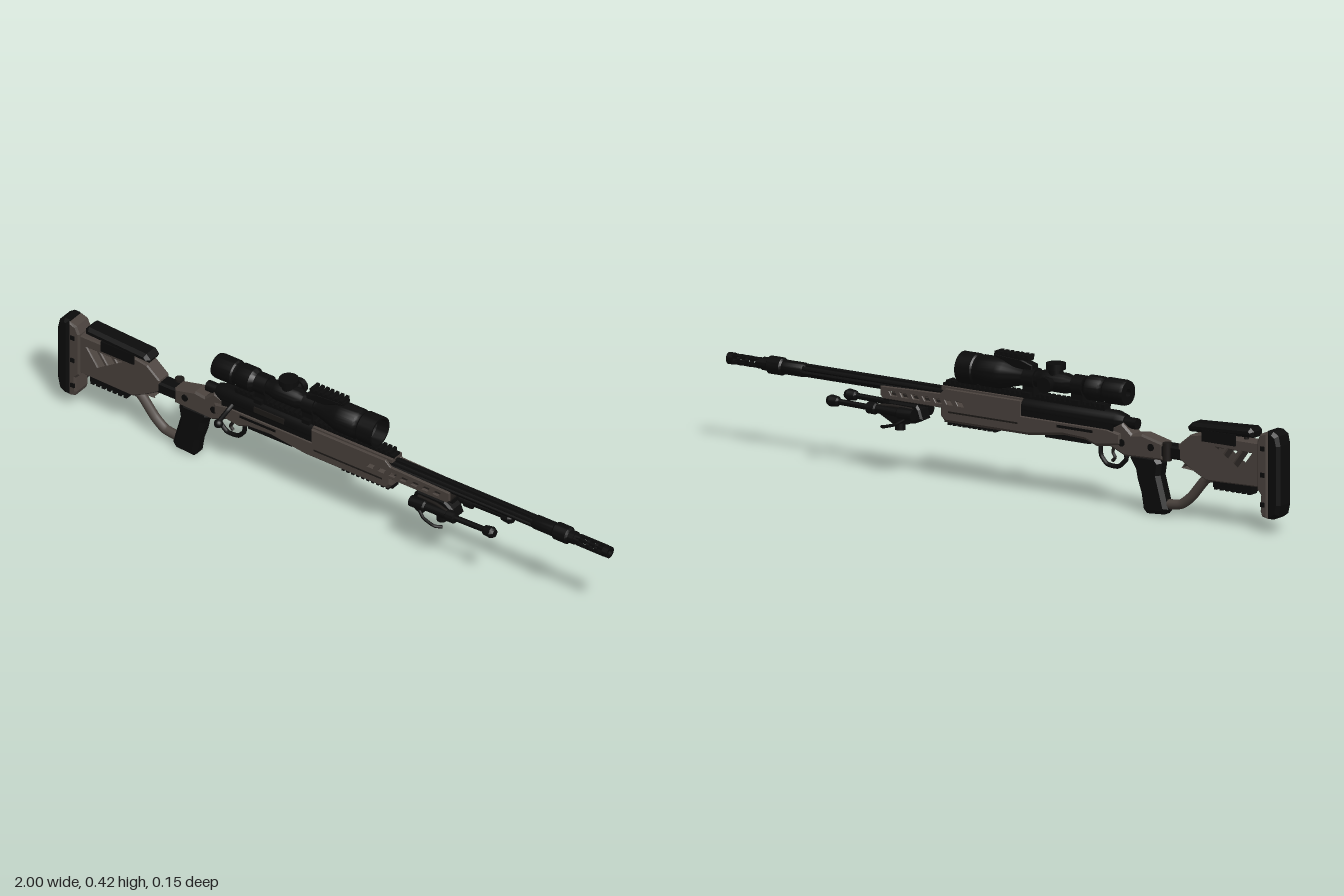
import * as THREE from 'three';
import { toCreasedNormals } from 'three/addons/utils/BufferGeometryUtils.js';

export function createModel() {
  const root = new THREE.Group();
  const body = new THREE.Group();
  body.name = 'body';
  body.position.z = -0.008;
  root.add(body);

  const make = (name, color) => {
    const m = new THREE.MeshStandardMaterial({ color, side: THREE.DoubleSide });
    m.name = name;
    return m;
  };
  const black = make('black', 0x0b0b0b);
  const taupe = make('taupe', 0x4a423d);
  const steel = make('dark steel', 0x1d1a18);

  const add = (name, geo, mat) => {
    const m = new THREE.Mesh(geo, mat);
    m.name = name;
    body.add(m);
    return m;
  };
  // box given by its x and y limits, width and z centre
  const box = (name, mat, x0, x1, y0, y1, w, z = 0) =>
    add(name, new THREE.BoxGeometry(x1 - x0, y1 - y0, w).translate((x0 + x1) / 2, (y0 + y1) / 2, z), mat);
  // side profile with bevelled edges, centred on z
  const prism = (name, mat, pts, w, holes = [], z = 0, b = 0.006) => {
    const v = (a) => a.map(([x, y]) => new THREE.Vector2(x, y));
    const s = new THREE.Shape(v(pts));
    holes.forEach((h) => s.holes.push(new THREE.Path(v(h))));
    const g = new THREE.ExtrudeGeometry(s, {
      depth: w - 2 * b, bevelEnabled: b > 0, bevelThickness: b, bevelSize: b, bevelOffset: -b, bevelSegments: 1,
    });
    return add(name, g.translate(0, 0, z - w / 2 + b), mat);
  };
  // turned part along x: profile of [x, radius]
  const turned = (name, mat, prof, y, z = 0, seg = 28) => {
    const g = new THREE.LatheGeometry(prof.map(([x, r]) => new THREE.Vector2(r, x)), seg);
    return add(name, toCreasedNormals(g.rotateZ(-Math.PI / 2).translate(0, y, z), 0.6), mat);
  };
  const rod = (name, mat, x0, x1, r, y, z = 0, seg = 20) =>
    turned(name, mat, [[x0, 0], [x0, r], [x1, r], [x1, 0]], y, z, seg);
  const tube = (name, mat, pts, r, closed = false) =>
    add(name, new THREE.TubeGeometry(new THREE.CatmullRomCurve3(
      pts.map((p) => new THREE.Vector3(...p)), closed, 'catmullrom', 0.3), 32, r, 10, closed), mat);
  // rail with cross teeth
  const rail = (name, mat, x0, x1, y0, y1, w, up = true) => {
    const mid = (y0 + y1) / 2;
    box(name, mat, x0, x1, up ? y0 : mid, up ? mid : y1, w * 0.85);
    for (let x = x0; x < x1 - 0.008; x += 0.018)
      box(name + 'Tooth', mat, x, x + 0.01, up ? mid : y0, up ? y1 : mid, w);
  };

  // butt pad and plate
  prism('buttPad', black, [[-0.975, 0.045], [-0.955, 0.045], [-0.955, 0.312], [-0.975, 0.312],
    [-0.993, 0.3], [-1, 0.27], [-1, 0.09], [-0.993, 0.058]], 0.07, [], 0, 0.01);
  prism('buttPlate', taupe, [[-0.957, 0.045], [-0.935, 0.05], [-0.93, 0.065], [-0.932, 0.115],
    [-0.918, 0.13], [-0.918, 0.275], [-0.93, 0.3], [-0.957, 0.308]], 0.066);
  for (const y of [0.08, 0.17, 0.25]) box('buttScrew', black, -0.948, -0.934, y, y + 0.014, 0.072);

  // skeleton stock with slanted openings
  const slots = [0, 1, 2, 3].map((i) => {
    const x = -0.895 + i * 0.052;
    return [[x, 0.235], [x + 0.034, 0.235], [x + 0.09, 0.16], [x + 0.056, 0.16]];
  });
  prism('stockFrame', taupe, [[-0.925, 0.135], [-0.73, 0.13], [-0.68, 0.155], [-0.63, 0.185],
    [-0.63, 0.225], [-0.675, 0.262], [-0.72, 0.27], [-0.925, 0.27]], 0.05, slots, 0, 0.004);
  box('stockLowerRail', black, -0.89, -0.75, 0.112, 0.133, 0.032);
  for (let i = 0; i < 7; i++) box('stockRailTooth', black, -0.886 + i * 0.02, -0.875 + i * 0.02, 0.106, 0.114, 0.036);
  for (const x of [-0.86, -0.73]) rodUp('cheekPost', steel, x, 0.25, 0.3, 0.008);

  // padded cheek rest
  prism('cheekRest', black, [[-0.9, 0.282], [-0.67, 0.272], [-0.664, 0.284], [-0.68, 0.3], [-0.89, 0.311], [-0.902, 0.3]], 0.062, [], 0, 0.01);
  for (const s of [-1, 1]) box('cheekRestSide', black, -0.84, -0.72, 0.25, 0.285, 0.006, s * 0.029);

  function rodUp(name, mat, x, y0, y1, r, z = 0) {
    return add(name, new THREE.CylinderGeometry(r, r, y1 - y0, 20).translate(x, (y0 + y1) / 2, z), mat);
  }

  // folding hinge and rear of the chassis
  prism('hinge', black, [[-0.645, 0.178], [-0.56, 0.178], [-0.54, 0.19], [-0.54, 0.218], [-0.645, 0.218]], 0.05);
  rodUp('hingePin', steel, -0.59, 0.172, 0.226, 0.014, -0.022);
  prism('chassisRear', taupe, [[-0.575, 0.17], [-0.44, 0.165], [-0.38, 0.19], [-0.38, 0.245],
    [-0.43, 0.265], [-0.465, 0.235], [-0.5, 0.24], [-0.575, 0.222]], 0.054);
  for (const x of [-0.535, -0.43]) {
    const g = new THREE.CylinderGeometry(0.011, 0.011, 0.06, 16).rotateX(Math.PI / 2).translate(x, 0.205, 0);
    add('chassisPin', g, black);
  }

  // brace tube from the stock to the grip
  tube('stockBrace', taupe, [[-0.76, 0.142, 0], [-0.715, 0.128, 0], [-0.665, 0.07, 0], [-0.625, 0.04, 0], [-0.56, 0.032, 0]], 0.015);

  // grip
  prism('grip', black, [[-0.575, 0.004], [-0.512, 0], [-0.5, 0.012], [-0.492, 0.06], [-0.478, 0.1], [-0.472, 0.13],
    [-0.452, 0.16], [-0.46, 0.178], [-0.55, 0.178], [-0.566, 0.158], [-0.56, 0.12], [-0.574, 0.07], [-0.588, 0.02]], 0.05, [], 0, 0.012);

  // trigger guard and trigger
  tube('triggerGuard', black, [[-0.425, 0.182, 0], [-0.428, 0.15, 0], [-0.4, 0.124, 0], [-0.36, 0.126, 0],
    [-0.338, 0.15, 0], [-0.335, 0.185, 0]], 0.007);
  tube('trigger', steel, [[-0.385, 0.19, 0], [-0.38, 0.165, 0], [-0.388, 0.15, 0], [-0.378, 0.138, 0]], 0.005);

  // chassis and forend
  prism('chassis', taupe, [[-0.43, 0.195], [-0.34, 0.182], [-0.3, 0.196], [-0.22, 0.2], [-0.1, 0.183], [0.205, 0.182],
    [0.222, 0.2], [0.222, 0.245], [-0.38, 0.245], [-0.43, 0.235]], 0.066, [], 0, 0.009);
  box('magazine', black, -0.31, -0.15, 0.183, 0.21, 0.04);
  for (const s of [-1, 1]) {
    box('chassisGroove', steel, -0.06, 0.19, 0.213, 0.218, 0.002, s * 0.0335);
    box('chassisPanel', black, -0.33, -0.2, 0.222, 0.23, 0.002, s * 0.0335);
  }
  rail('underRail', black, 0.03, 0.215, 0.172, 0.186, 0.036, false);

  // handguard with side openings
  const vents = [];
  for (let i = 0; i < 7; i++) {
    const x = 0.135 + i * 0.04;
    vents.push([[x, 0.238], [x + 0.02, 0.238], [x + 0.028, 0.25], [x + 0.008, 0.25]]);
  }
  for (const s of [-1, 1])
    prism('handguardSide', taupe, [[-0.07, 0.225], [0.425, 0.225], [0.435, 0.235], [0.435, 0.262], [0.22, 0.268], [0.2, 0.285], [-0.07, 0.285]],
      0.01, vents, s * 0.028, 0.002);
  box('handguardFloor', steel, -0.07, 0.43, 0.223, 0.232, 0.05);
  box('handguardTop', taupe, -0.07, 0.22, 0.278, 0.29, 0.05);
  box('accessoryRail', black, 0.27, 0.435, 0.215, 0.226, 0.03);

  // receiver, bolt and top rail
  turned('receiver', black, [[-0.43, 0], [-0.43, 0.022], [-0.4, 0.031], [-0.06, 0.031], [-0.06, 0]], 0.263);
  box('receiverBed', black, -0.4, -0.07, 0.235, 0.265, 0.06);
  box('ejectionPort', steel, -0.28, -0.17, 0.262, 0.28, 0.004, 0.031);
  rod('boltShroud', black, -0.47, -0.42, 0.017, 0.262);
  rail('topRail', black, -0.36, 0.22, 0.288, 0.308, 0.036);
  tube('boltHandle', black, [[-0.36, 0.255, 0.02], [-0.365, 0.24, 0.045], [-0.378, 0.212, 0.066]], 0.007);
  add('boltKnob', new THREE.SphereGeometry(0.014, 16, 12).translate(-0.381, 0.2, 0.07), black);

  // fluted barrel, collar and vented muzzle brake
  const flute = new THREE.Shape();
  for (let i = 0; i <= 72; i++) {
    const a = (i / 72) * Math.PI * 2;
    const r = 0.02 - 0.006 * Math.max(0, Math.cos(a * 6)) ** 2;
    flute[i ? 'lineTo' : 'moveTo'](r * Math.cos(a), r * Math.sin(a));
  }
  add('barrel', new THREE.ExtrudeGeometry(flute, { depth: 0.67, bevelEnabled: false })
    .rotateY(Math.PI / 2).translate(0.1, 0.264, 0), black);
  turned('barrelCollar', black, [[0.72, 0.016], [0.73, 0.022], [0.8, 0.022], [0.806, 0.027], [0.85, 0.027],
    [0.856, 0.02], [0.875, 0.02], [0.875, 0.01]], 0.264);
  turned('muzzleTip', black, [[0.98, 0.01], [0.98, 0.018], [1, 0.018], [1, 0.01], [0.98, 0.01]], 0.264);
  turned('muzzleBase', black, [[0.87, 0.01], [0.87, 0.017], [0.895, 0.017], [0.895, 0.01]], 0.264);
  for (const x of [0.922, 0.952]) turned('muzzleRing', black, [[x, 0.01], [x, 0.017], [x + 0.01, 0.017], [x + 0.01, 0.01], [x, 0.01]], 0.264);
  for (let i = 0; i < 4; i++) {
    const a = Math.PI / 4 + (i * Math.PI) / 2;
    box('muzzleBar', black, 0.885, 0.985, 0.26 + 0.013 * Math.sin(a), 0.268 + 0.013 * Math.sin(a), 0.008, 0.013 * Math.cos(a));
  }

  // hollow scope
  const sy = 0.351;
  turned('scope', black, [[-0.435, 0.013], [-0.435, 0.036], [-0.425, 0.039], [-0.365, 0.039], [-0.36, 0.035], [-0.35, 0.035],
    [-0.345, 0.038], [-0.3, 0.038], [-0.285, 0.026], [-0.235, 0.025], [-0.215, 0.031], [-0.135, 0.031], [-0.12, 0.025],
    [-0.06, 0.026], [0, 0.042], [0.02, 0.047], [0.085, 0.047], [0.09, 0.044], [0.1, 0.044], [0.105, 0.048], [0.158, 0.048],
    [0.158, 0.042], [0.12, 0.04], [0.1, 0.013], [-0.435, 0.013]], sy, 0, 36);
  rodUp('elevationTurretBase', black, -0.175, sy, 0.392, 0.022);
  rodUp('elevationTurret', black, -0.175, 0.39, 0.408, 0.03);
  const side = new THREE.CylinderGeometry(0.024, 0.024, 0.018, 24).rotateX(Math.PI / 2);
  add('sideTurret', side.translate(-0.175, sy, -0.055), black);
  add('sideTurretNeck', new THREE.CylinderGeometry(0.016, 0.016, 0.03, 20).rotateX(Math.PI / 2).translate(-0.175, sy, -0.036), black);

  // scope rings
  for (const x of [-0.265, -0.09]) {
    turned('scopeRing', black, [[x - 0.02, 0.024], [x - 0.02, 0.032], [x + 0.02, 0.032], [x + 0.02, 0.024]], sy);
    box('scopeRingFoot', black, x - 0.02, x + 0.02, 0.3, 0.33, 0.044);
    box('scopeRingClamp', black, x - 0.014, x + 0.014, 0.298, 0.312, 0.07);
  }

  // small rail mount above the scope
  prism('sightMount', black, [[-0.1, 0.375], [-0.03, 0.378], [0.005, 0.395], [0.035, 0.402], [0.035, 0.411], [-0.06, 0.405], [-0.1, 0.392]], 0.034, [], 0, 0.003);
  rail('sightRail', black, -0.085, 0.037, 0.403, 0.42, 0.038);

  // folded bipod
  prism('bipodMount', black, [[0.3, 0.205], [0.29, 0.175], [0.32, 0.16], [0.4, 0.15], [0.45, 0.175], [0.44, 0.2], [0.41, 0.218], [0.31, 0.218]], 0.05);
  add('bipodPivot', new THREE.CylinderGeometry(0.022, 0.022, 0.09, 20).rotateX(Math.PI / 2).translate(0.335, 0.182, 0), black);
  rodUp('bipodKnob', black, 0.385, 0.13, 0.16, 0.016);
  for (const s of [-1, 1]) {
    const z = s * 0.046;
    turned('bipodLeg', black, [[0.31, 0], [0.31, 0.017], [0.36, 0.018], [0.365, 0.013], [0.44, 0.013], [0.444, 0.018],
      [0.47, 0.018], [0.474, 0.009], [0.575, 0.009], [0.58, 0.015], [0.605, 0.018], [0.616, 0.012], [0.616, 0]], 0.186, z, 20)
      .rotation.z = 0.02;
    tube('bipodLever', black, [[0.33, 0.18, z], [0.36, 0.16, s * 0.06], [0.4, 0.148, s * 0.061], [0.42, 0.143, s * 0.045]], 0.005);
    tube('bipodSpring', steel, [[0.32, 0.205, s * 0.03], [0.39, 0.208, s * 0.036], [0.45, 0.204, z]], 0.005);
  }
  return root;
}
